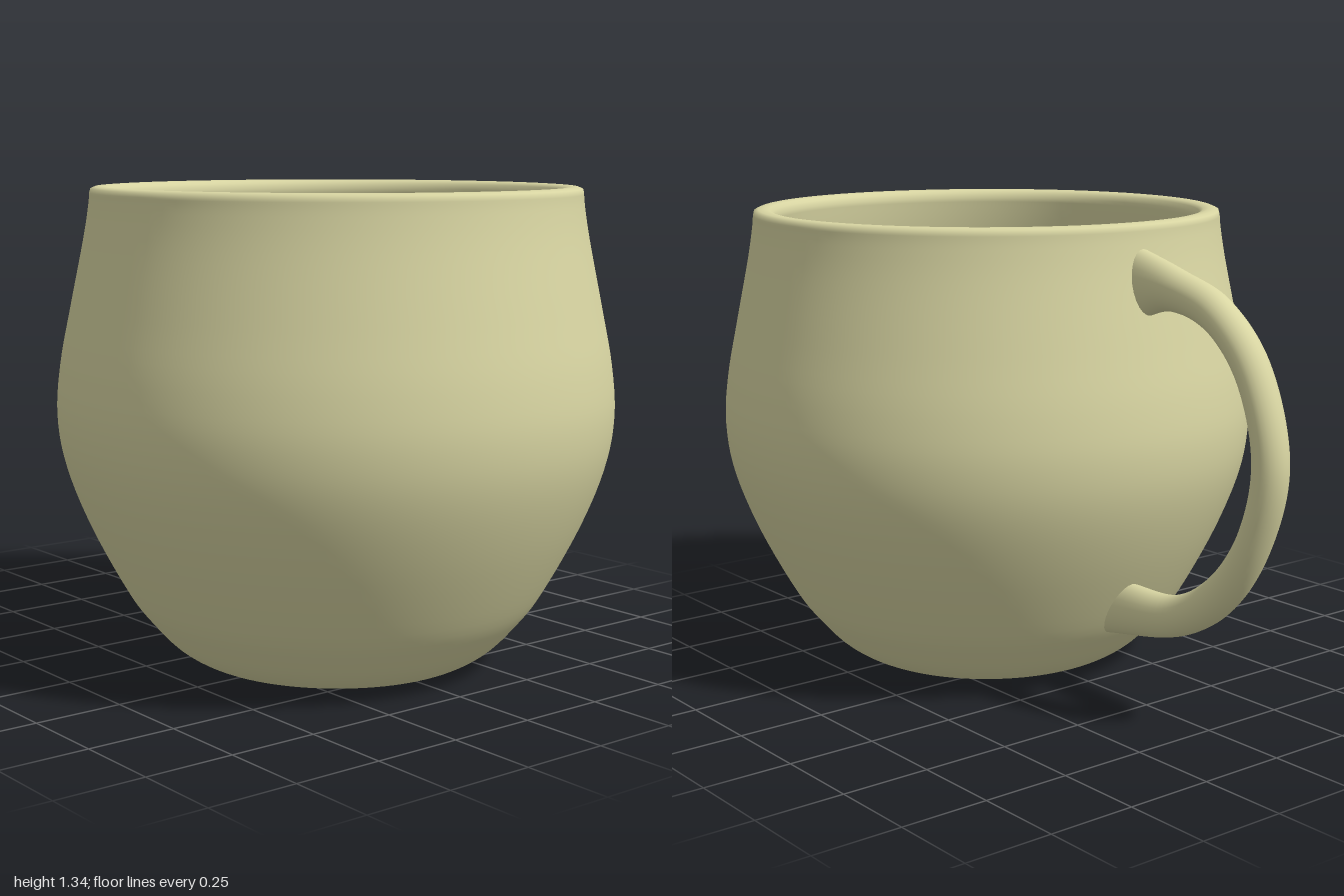
import * as THREE from 'three';

const CUP_Z = 0.222; // cup axis, set forward to balance the handle

const v2 = ([x, y]) => new THREE.Vector2(x, y);
const smooth = (pts, n) => new THREE.SplineCurve(pts.map(v2)).getPoints(n);

// Hollow cup: outer wall, rounded rim, inner wall and floor in one lathe
function makeCup(material) {
  const outer = smooth([
    [0.32, 0], [0.39, 0.014], [0.46, 0.055], [0.523, 0.12], [0.59, 0.21], [0.69, 0.4],
    [0.755, 0.57], [0.777, 0.71], [0.767, 0.85], [0.736, 1.01], [0.699, 1.19], [0.684, 1.28], [0.68, 1.32],
  ], 60);
  const rim = [[0.677, 1.331], [0.665, 1.336], [0.648, 1.337], [0.632, 1.334], [0.621, 1.326]].map(v2);
  const inner = smooth([
    [0.615, 1.31], [0.63, 1.21], [0.671, 1.01], [0.702, 0.85], [0.71, 0.71], [0.69, 0.57],
    [0.628, 0.4], [0.53, 0.22], [0.46, 0.135], [0.38, 0.085], [0.28, 0.07],
  ], 50);
  const profile = [v2([0, 0]), ...outer, ...rim, ...inner, v2([0, 0.07])];
  const cup = new THREE.Mesh(new THREE.LatheGeometry(profile, 96), material);
  cup.name = 'cup';
  cup.position.z = CUP_Z;
  return cup;
}

// Handle: oval sections spanned between an outer and an inner edge curve, flared at the wall
function makeHandle(material) {
  const edge = (pts) => new THREE.CatmullRomCurve3(pts.map(([z, y]) => new THREE.Vector3(0, y, z)));
  const outer = edge([
    [-0.44, 1.275], [-0.61, 1.227], [-0.77, 1.17], [-0.914, 1.03], [-0.998, 0.77],
    [-0.947, 0.545], [-0.823, 0.353], [-0.65, 0.24], [-0.33, 0.17],
  ]);
  const inner = edge([
    [-0.47, 1.085], [-0.58, 1.114], [-0.725, 1.08], [-0.84, 0.97], [-0.903, 0.77],
    [-0.861, 0.58], [-0.754, 0.433], [-0.61, 0.345], [-0.42, 0.335],
  ]);
  const rings = 80, sides = 24, halfWidth = 0.05;
  const positions = [], index = [];
  for (let i = 0; i <= rings; i++) {
    const a = outer.getPoint(i / rings), b = inner.getPoint(i / rings);
    const mid = a.clone().add(b).multiplyScalar(0.5);
    const half = a.sub(b).multiplyScalar(0.5);
    for (let j = 0; j < sides; j++) {
      const t = (j / sides) * Math.PI * 2, c = Math.cos(t);
      positions.push(halfWidth * Math.sin(t), mid.y + half.y * c, mid.z + half.z * c);
      if (i < rings) {
        const p = i * sides + j, q = i * sides + ((j + 1) % sides);
        index.push(p, p + sides, q, q, p + sides, q + sides);
      }
    }
  }
  const geometry = new THREE.BufferGeometry();
  geometry.setAttribute('position', new THREE.Float32BufferAttribute(positions, 3));
  geometry.setIndex(index);
  geometry.computeVertexNormals();
  const handle = new THREE.Mesh(geometry, material);
  handle.name = 'handle';
  return handle;
}

export function createModel() {
  const glaze = new THREE.MeshStandardMaterial({ color: 0xd8d5a2, side: THREE.DoubleSide });
  const mug = new THREE.Group();
  mug.name = 'mug';
  mug.add(makeCup(glaze), makeHandle(glaze));
  return mug;
}
